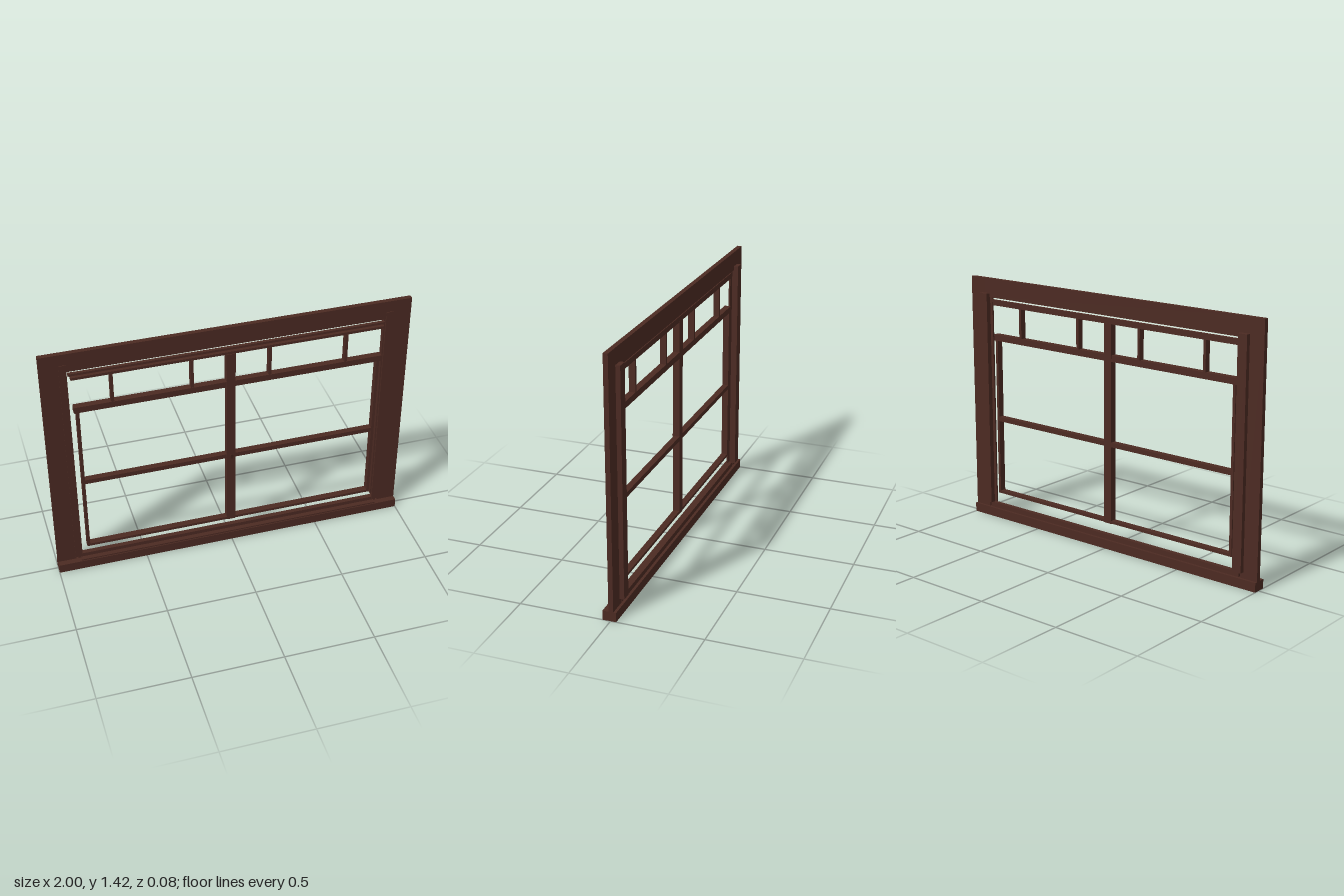
import * as THREE from 'three';

export function createModel() {
  const model = new THREE.Group();
  model.name = 'window';
  const wood = new THREE.MeshStandardMaterial({ color: 0x4c2a22 });
  wood.name = 'darkWood';

  // Box given by its limits on each axis
  function bar(parent, name, x0, x1, y0, y1, z0, z1) {
    const mesh = new THREE.Mesh(new THREE.BoxGeometry(x1 - x0, y1 - y0, z1 - z0), wood);
    mesh.position.set((x0 + x1) / 2, (y0 + y1) / 2, (z0 + z1) / 2);
    mesh.name = name;
    parent.add(mesh);
  }
  // The same box on the left and right
  function pair(parent, name, x0, x1, ...yz) {
    bar(parent, name + 'Left', x0, x1, ...yz);
    bar(parent, name + 'Right', -x1, -x0, ...yz);
  }
  // Side profile of [z, y] points, swept along x
  function moulding(parent, name, points, halfWidth) {
    const shape = new THREE.Shape(points.map(([z, y]) => new THREE.Vector2(-z, y)));
    const geo = new THREE.ExtrudeGeometry(shape, { depth: halfWidth * 2, bevelEnabled: false });
    geo.rotateY(Math.PI / 2);
    geo.translate(-halfWidth, 0, 0);
    const mesh = new THREE.Mesh(geo, wood);
    mesh.name = name;
    parent.add(mesh);
  }

  // Fixed outer frame
  const frame = new THREE.Group();
  frame.name = 'frame';
  model.add(frame);
  pair(frame, 'jamb', 0.895, 1, 0.05, 1.42, -0.016, 0.01);
  bar(frame, 'head', -0.895, 0.895, 1.312, 1.42, -0.016, 0.01);
  pair(frame, 'backStop', 0.86, 0.915, 0.085, 1.335, -0.041, -0.013);
  pair(frame, 'frontStop', 0.86, 0.9, 0.065, 1.355, 0.005, 0.014);
  bar(frame, 'sill', -1, 1, 0, 0.052, -0.031, 0.043);
  bar(frame, 'sillLip', -0.87, 0.87, 0.052, 0.06, 0.012, 0.038);
  bar(frame, 'sillRail', -0.885, 0.885, 0.052, 0.08, -0.016, 0.01);

  // Inner sash with its glazing bars
  const sash = new THREE.Group();
  sash.name = 'sash';
  model.add(sash);
  const back = -0.005, front = 0.031;
  bar(sash, 'topFlange', -0.855, 0.855, 1.284, 1.297, back, 0.013);
  moulding(sash, 'topRail', [[back, 1.266], [0.026, 1.266], [front, 1.27], [front, 1.284], [back, 1.284]], 0.845);
  bar(sash, 'transom', -0.842, 0.842, 1.062, 1.097, back, front);
  pair(sash, 'stile', 0.815, 0.831, 0.145, 1.062, back, front);
  bar(sash, 'bottomRail', -0.831, 0.831, 0.145, 0.16, back, front);
  bar(sash, 'middleBar', -0.815, 0.815, 0.585, 0.611, back, front - 0.002);
  bar(sash, 'mullion', -0.027, 0.022, 0.143, 1.268, back - 0.001, front + 0.001);
  for (const x of [0.212, 0.637]) {
    pair(sash, 'upperBar', x - 0.008, x + 0.008, 1.097, 1.266, back, front - 0.002);
  }

  // Small catch on the mullion
  moulding(sash, 'catch', [[0.03, 0.58], [0.034, 0.58], [0.038, 0.597], [0.043, 0.614], [0.038, 0.612], [0.03, 0.6]], 0.008);

  return model;
}
